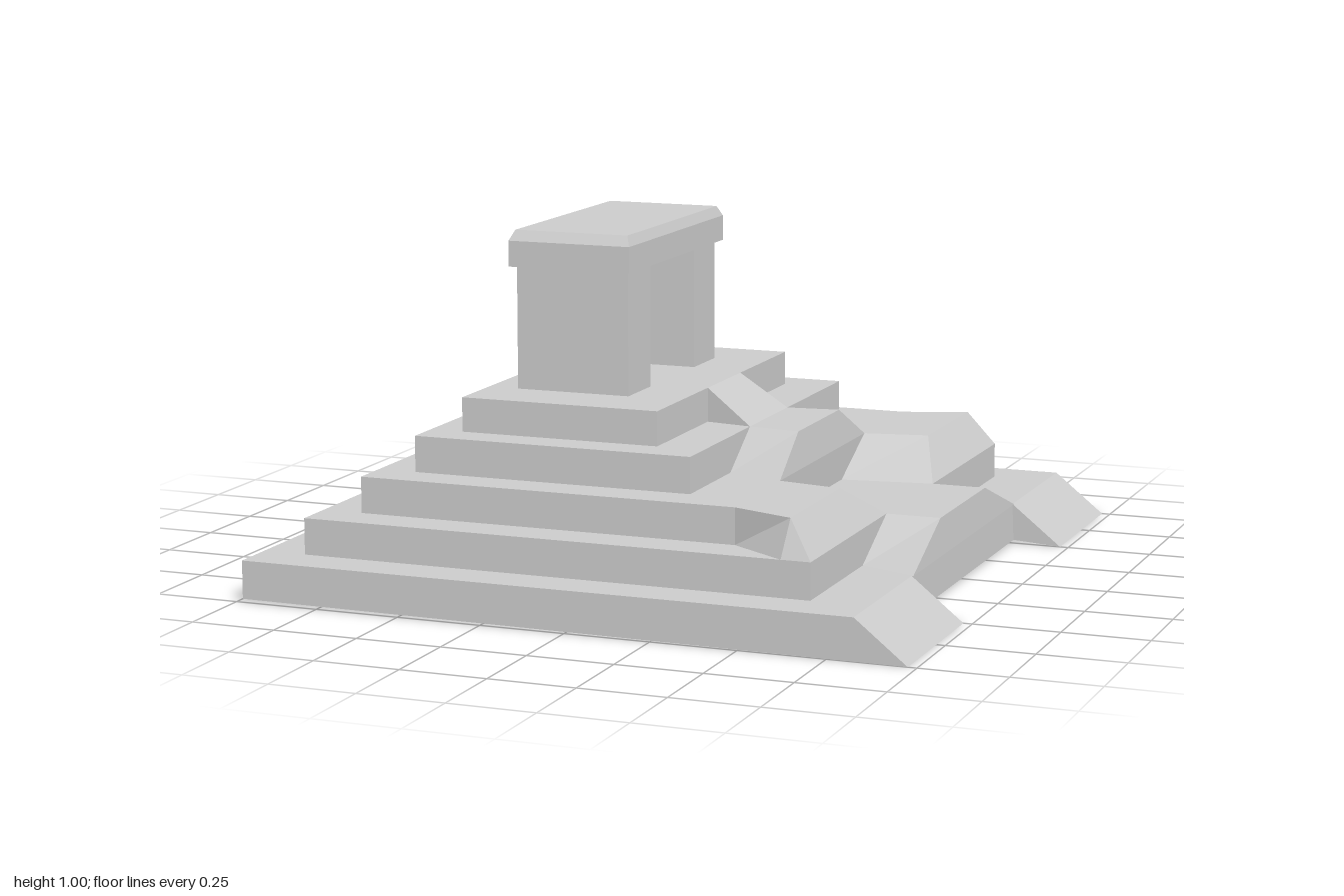
import * as THREE from 'three';

const material = new THREE.MeshStandardMaterial({ color: 0xcccccc, flatShading: true });

// Closed loop from its +z half: points are [x, z] or [x, z, own height]
function loop(half, y) {
  const pts = half.map(([x, z, h = y]) => new THREE.Vector3(x, h, z));
  const mirrored = pts.map(p => new THREE.Vector3(p.x, p.y, -p.z)).reverse();
  return [...pts, ...mirrored];
}

// Solid between a lower and an upper loop with matching corners
function tierGeometry(y0, lowerHalf, y1, upperHalf) {
  const lower = loop(lowerHalf, y0);
  const upper = loop(upperHalf, y1);
  const pos = [];
  const tri = (a, b, c) => {
    if (new THREE.Triangle(a, b, c).getArea() < 1e-7) return;
    for (const p of [a, b, c]) pos.push(p.x, p.y, p.z);
  };
  const n = lower.length;
  for (let i = 0; i < n; i++) {
    const j = (i + 1) % n;
    tri(lower[i], lower[j], upper[j]);
    tri(lower[i], upper[j], upper[i]);
  }
  const cap = (pts, up) => {
    const flat = pts.map(p => new THREE.Vector2(p.x, -p.z));
    for (const [a, b, c] of THREE.ShapeUtils.triangulateShape(flat, [])) {
      const ccw = THREE.ShapeUtils.area([flat[a], flat[b], flat[c]]) > 0;
      if (ccw === up) tri(pts[a], pts[b], pts[c]);
      else tri(pts[a], pts[c], pts[b]);
    }
  };
  cap(upper, true);
  cap(lower, false);
  const geo = new THREE.BufferGeometry();
  geo.setAttribute('position', new THREE.Float32BufferAttribute(pos, 3));
  geo.computeVertexNormals();
  return geo;
}

export function createModel() {
  const group = new THREE.Group();
  const add = (name, geo) => {
    const mesh = new THREE.Mesh(geo, material);
    mesh.name = name;
    group.add(mesh);
    return mesh;
  };

  // Base with a sloping lip, notched in the middle of the +x side
  add('baseTier', tierGeometry(
    0.01, [[-0.98, 1], [0.975, 1, 0], [0.975, 0.5, 0], [0.83, 0.5]],
    0.12, [[-0.98, 1], [0.825, 1], [0.825, 0.5], [0.825, 0.5]]));

  // Second tier with a tongue that spreads towards the ground
  add('secondTier', tierGeometry(
    0.12, [[-0.85, 0.87], [0.66, 0.87], [0.66, 0.43], [0.83, 0.5]],
    0.225, [[-0.85, 0.87], [0.66, 0.87], [0.66, 0.22], [0.82, 0.22]]));

  // Third tier, flared at the corners and cut by the valley of the path
  add('thirdTier', tierGeometry(
    0.225, [[-0.73, 0.75], [0.4, 0.75], [0.575, 0.87], [0.66, 0.87], [0.66, 0.22], [0.39, 0.18]],
    0.33, [[-0.73, 0.75], [0.4, 0.75], [0.585, 0.82], [0.585, 0.82], [0.585, 0.41], [0.395, 0.375]]));

  // Fourth tier with its tongue
  add('fourthTier', tierGeometry(
    0.33, [[-0.615, 0.635], [0.225, 0.635], [0.225, 0.32], [0.395, 0.375]],
    0.435, [[-0.615, 0.635], [0.225, 0.635], [0.225, 0.16], [0.38, 0.18]]));

  // Top tier with a short ramp
  add('topTier', tierGeometry(
    0.435, [[-0.515, 0.53], [0.085, 0.53], [0.085, 0.135], [0.225, 0.16]],
    0.535, [[-0.515, 0.53], [0.085, 0.53], [0.085, 0.135], [0.085, 0.135]]));

  // Gate: two pillars under a lintel with a bevelled cap
  for (const side of [1, -1]) {
    const pillar = add(side > 0 ? 'frontPillar' : 'backPillar', new THREE.BoxGeometry(0.345, 0.36, 0.17));
    pillar.position.set(-0.25, 0.715, side * 0.26);
  }
  const lintel = [[-0.435, 0.375], [-0.062, 0.375]];
  add('lintel', tierGeometry(0.895, lintel, 0.97, lintel));
  add('lintelCap', tierGeometry(0.97, lintel, 1, [[-0.422, 0.355], [-0.075, 0.355]]));

  return group;
}
